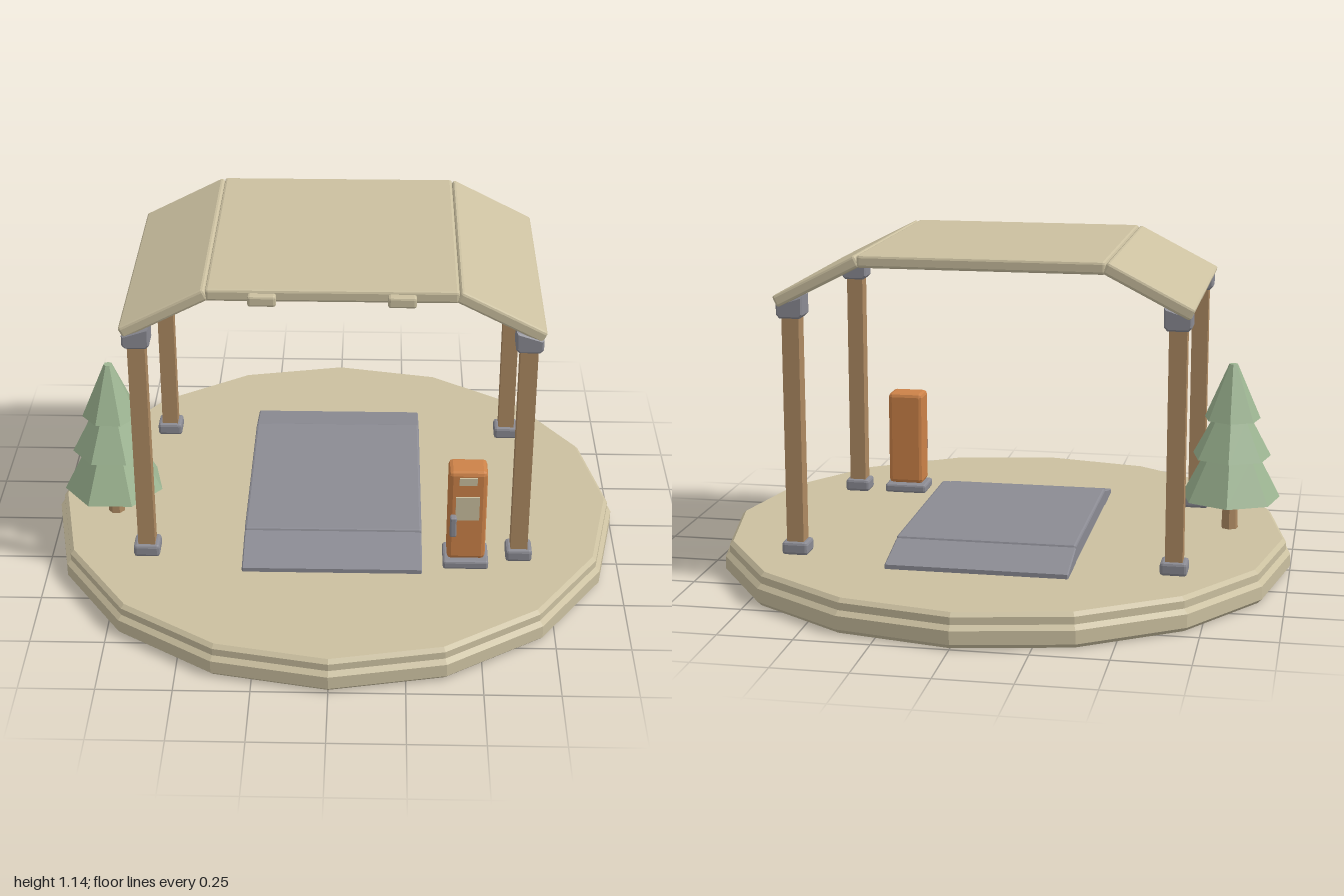
import * as THREE from 'three';
import { RoundedBoxGeometry } from 'three/addons/geometries/RoundedBoxGeometry.js';

const material = (name, color) => {
  const m = new THREE.MeshStandardMaterial({ color });
  m.name = name;
  return m;
};

// Faceted copy: every face keeps its own normal
function facet(geometry) {
  const g = geometry.index ? geometry.toNonIndexed() : geometry;
  g.computeVertexNormals();
  return g;
}

// Box with chamfered edges
const chamferBox = (w, h, d, bevel) => facet(new RoundedBoxGeometry(w, h, d, 1, bevel));

// Outline in x/y, extruded along z and centred, with small bevels
function prism(points, depth, bevel) {
  const shape = new THREE.Shape(points.map(([x, y]) => new THREE.Vector2(x, y)));
  const g = new THREE.ExtrudeGeometry(shape, {
    depth: depth - 2 * bevel, bevelEnabled: bevel > 0, bevelSize: bevel,
    bevelThickness: bevel, bevelOffset: -bevel, bevelSegments: 1,
  });
  g.translate(0, 0, -depth / 2 + bevel);
  return g;
}

export function createModel() {
  const sand = material('sand', 0xcbc0a0);
  const steel = material('steel', 0x8b8b93);
  const wood = material('wood', 0xae8a62);
  const orange = material('orange', 0xcc8248);
  const leaf = material('leaf', 0x9db592);

  const model = new THREE.Group();
  model.name = 'chargingShelter';
  const add = (name, geometry, mat, x = 0, y = 0, z = 0, parent = model) => {
    const mesh = new THREE.Mesh(geometry, mat);
    mesh.name = name;
    mesh.position.set(x, y, z);
    parent.add(mesh);
    return mesh;
  };

  // Sixteen-sided ground disc with a stepped, chamfered rim
  const rim = [[0, 0], [0.985, 0], [1, 0.015], [1, 0.06], [0.985, 0.075],
    [0.985, 0.1], [0.972, 0.113], [0, 0.113]].map(([r, y]) => new THREE.Vector2(r, y));
  add('groundDisc', facet(new THREE.LatheGeometry(rim, 16)), sand);

  // Parking pad with a ramp at each end
  const pad = new THREE.Group();
  pad.name = 'parkingPad';
  pad.position.set(0, 0, -0.048);
  model.add(pad);
  add('padDeck', chamferBox(0.615, 0.066, 0.73, 0.008), steel, 0, 0.143, 0, pad);
  for (const side of [1, -1]) {
    const ramp = prism([[0.36, 0.11], [0.538, 0.11], [0.538, 0.128], [0.365, 0.168]], 0.615, 0.004);
    ramp.rotateY(-side * Math.PI / 2);
    add(side > 0 ? 'frontRamp' : 'backRamp', ramp, steel, 0, 0, 0, pad);
  }

  // Four posts with feet and sloping caps
  for (const x of [-0.64, 0.64]) {
    for (const z of [0.37, -0.457]) {
      const post = new THREE.Group();
      post.name = 'post';
      post.position.set(x, 0, z);
      post.rotation.y = x < 0 ? Math.PI : 0;
      model.add(post);
      add('postShaft', new THREE.BoxGeometry(0.058, 0.81, 0.058), wood, 0, 0.55, 0, post);
      add('postFoot', chamferBox(0.09, 0.045, 0.084, 0.01), steel, 0, 0.136, 0, post);
      const cap = prism([[-0.034, 0.925], [0.034, 0.925], [0.045, 0.937], [0.045, 0.972],
        [-0.045, 1.0], [-0.045, 0.937]], 0.084, 0.006);
      add('postCap', cap, steel, 0, 0, 0, post);
    }
  }

  // Roof: flat middle panel and two sloping wings
  const roof = new THREE.Group();
  roof.name = 'roof';
  roof.position.z = -0.048;
  model.add(roof);
  const depth = 0.915;
  add('roofPanel', chamferBox(0.815, 0.042, depth, 0.009), sand, 0, 1.122, 0, roof);
  for (const side of [1, -1]) {
    const wing = add('roofWing', chamferBox(0.318, 0.042, depth, 0.009), sand, side * 0.546, 1.052, 0, roof);
    wing.rotation.z = -side * 0.475;
    add('roofTab', chamferBox(0.092, 0.038, 0.05, 0.008), sand, side * 0.225, 1.114, 0.459, roof);
  }

  // Charging pump beside the pad
  const pump = new THREE.Group();
  pump.name = 'pump';
  pump.position.set(0.456, 0, 0.4);
  model.add(pump);
  add('pumpFoot', chamferBox(0.155, 0.032, 0.125, 0.008), steel, 0, 0.13, 0, pump);
  add('pumpBody', chamferBox(0.13, 0.345, 0.1, 0.014), orange, 0, 0.321, 0, pump);
  add('pumpSign', new THREE.BoxGeometry(0.06, 0.028, 0.008), sand, 0, 0.461, 0.052, pump);
  add('pumpScreen', new THREE.BoxGeometry(0.08, 0.09, 0.008), sand, 0, 0.355, 0.052, pump);
  add('pumpHandle', chamferBox(0.022, 0.075, 0.03, 0.005), steel, -0.047, 0.292, 0.062, pump);

  // Seven-sided three-tier tree
  const tree = new THREE.Group();
  tree.name = 'tree';
  tree.position.set(-0.78, 0, 0.108);
  tree.rotation.y = Math.PI;
  model.add(tree);
  add('trunk', facet(new THREE.CylinderGeometry(0.026, 0.03, 0.13, 7)), wood, 0, 0.17, 0, tree);
  for (const [bottom, top, rBottom, rTop] of [
    [0.225, 0.38, 0.176, 0.095], [0.375, 0.515, 0.14, 0.065], [0.51, 0.705, 0.1, 0.015]]) {
    add('foliage', facet(new THREE.CylinderGeometry(rTop, rBottom, top - bottom, 7)), leaf,
      0, (bottom + top) / 2, 0, tree);
  }
  return model;
}
